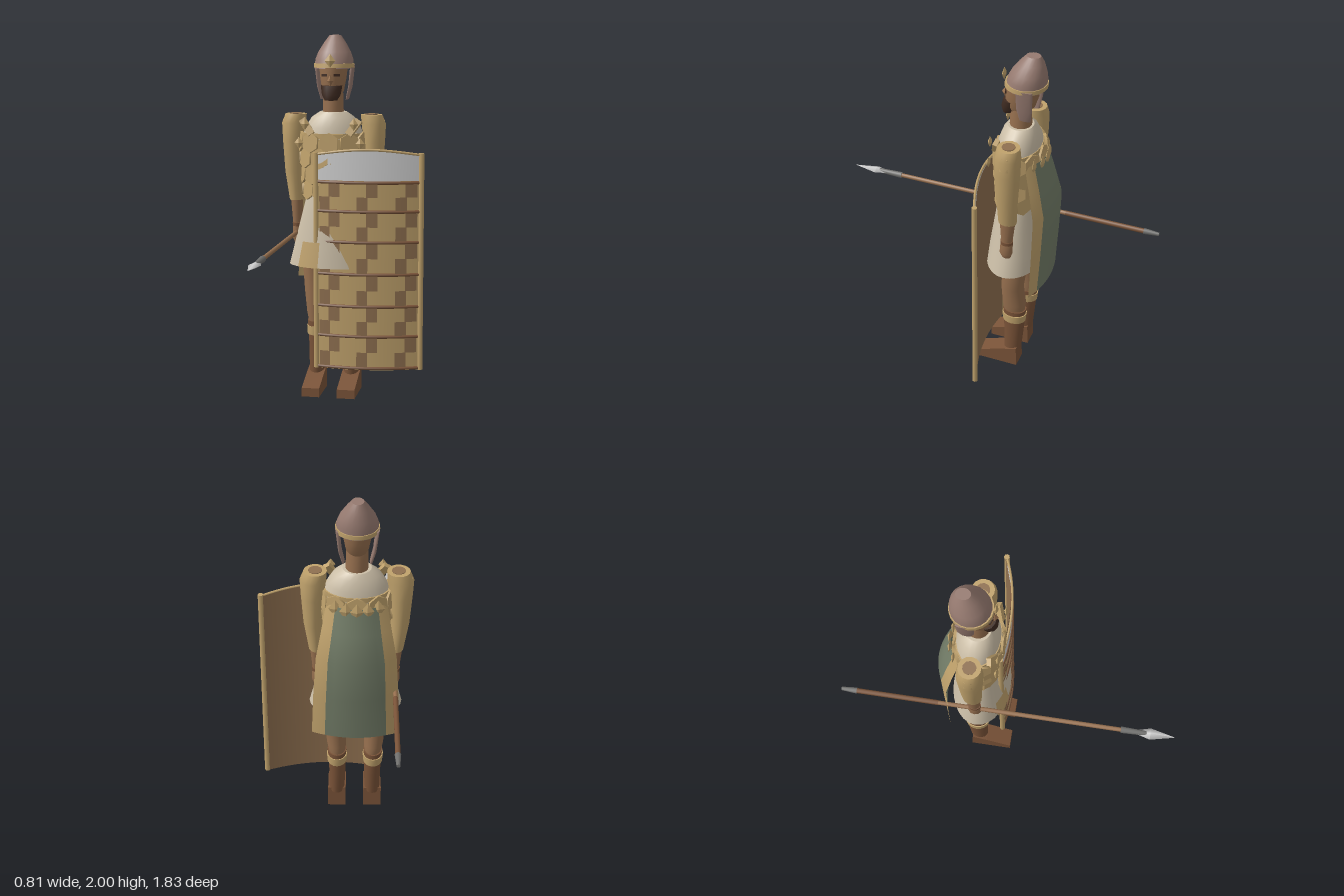
import * as THREE from 'three';

const mat = (name, color, side = THREE.FrontSide) => {
  const m = new THREE.MeshStandardMaterial({ color, side });
  m.name = name;
  return m;
};

// Closed body through elliptical rings [y, cx, cz, rx, rz], listed from bottom to top
function loft(rings, n = 16) {
  const pos = [], idx = [];
  const addRing = ([y, cx, cz, rx, rz]) => {
    const start = pos.length / 3;
    for (let i = 0; i < n; i++) {
      const a = (i / n) * Math.PI * 2;
      pos.push(cx + rx * Math.cos(a), y, cz + rz * Math.sin(a));
    }
    return start;
  };
  const starts = rings.map(addRing);
  for (let r = 0; r < rings.length - 1; r++)
    for (let i = 0; i < n; i++) {
      const j = (i + 1) % n, a = starts[r], b = starts[r + 1];
      idx.push(a + i, b + i, a + j, a + j, b + i, b + j);
    }
  const low = addRing(rings[0]), high = addRing(rings[rings.length - 1]);
  for (let i = 1; i < n - 1; i++) {
    idx.push(low, low + i, low + i + 1);
    idx.push(high, high + i + 1, high + i);
  }
  const g = new THREE.BufferGeometry();
  g.setAttribute('position', new THREE.Float32BufferAttribute(pos, 3));
  g.setIndex(idx);
  g.computeVertexNormals();
  return g;
}

// Sheet bent by a rule (u, v) -> [x, y, z], u and v from 0 to 1
function sheet(nu, nv, rule) {
  const g = new THREE.PlaneGeometry(1, 1, nu, nv), p = g.attributes.position;
  for (let i = 0; i < p.count; i++) p.setXYZ(i, ...rule(p.getX(i) + 0.5, p.getY(i) + 0.5));
  g.computeVertexNormals();
  return g;
}

export function createModel() {
  const skin = mat('skin', 0x97704f), leather = mat('leather', 0x7a5338);
  const tan = mat('tan', 0xc0a26c, THREE.DoubleSide), linen = mat('linen', 0xccbfa8, THREE.DoubleSide);
  const green = mat('green cloth', 0x737d68, THREE.DoubleSide), rose = mat('helmet bronze', 0x967a70);
  const dark = mat('dark hair', 0x402c22), brown = mat('shield brown', 0x8f7050, THREE.DoubleSide);
  const white = mat('pale', 0xd4d4d4, THREE.DoubleSide), grey = mat('iron', 0x6e6e6c);

  const model = new THREE.Group();
  const add = (name, geo, m, parent = model) => {
    const mesh = new THREE.Mesh(geo, m);
    mesh.name = name;
    parent.add(mesh);
    return mesh;
  };
  const X = -0.115, Z = -0.175;
  const figure = new THREE.Group();
  figure.name = 'soldier';
  figure.position.x = X;
  model.add(figure);
  const part = (name, geo, m) => add(name, geo, m, figure);
  const diamond = (name, x, y, z, w, h, m = tan) => {
    const d = part(name, new THREE.OctahedronGeometry(1), m);
    d.scale.set(w, h, 0.012);
    d.position.set(x, y, z);
    return d;
  };

  // Head and helmet
  part('neck', loft([[1.54, 0, Z, 0.06, 0.06], [1.7, 0, Z, 0.055, 0.055]]), skin);
  part('head', loft([[1.66, 0, -0.16, 0.04, 0.05], [1.7, 0, -0.17, 0.06, 0.078],
    [1.77, 0, -0.18, 0.072, 0.09], [1.84, 0, -0.185, 0.08, 0.095]]), skin);
  part('beard', loft([[1.65, 0, -0.105, 0.035, 0.03], [1.68, 0, -0.115, 0.052, 0.046],
    [1.73, 0, -0.125, 0.06, 0.045]], 10), dark);
  part('helmet', loft([[1.82, 0, -0.2, 0.108, 0.108], [1.87, 0, -0.207, 0.105, 0.102],
    [1.91, 0, -0.215, 0.09, 0.09], [1.96, 0, -0.227, 0.06, 0.066], [2, 0, -0.235, 0.031, 0.038]], 20), rose);
  part('helmetBand', loft([[1.825, 0, -0.2, 0.112, 0.113], [1.848, 0, -0.202, 0.111, 0.111]], 20), tan);
  diamond('helmetOrnament', 0, 1.865, -0.08, 0.03, 0.038);
  diamond('nose', 0, 1.757, -0.088, 0.018, 0.032, skin).scale.z = 0.02;
  for (const s of [-1, 1]) {
    const eye = part('eye', new THREE.BoxGeometry(0.035, 0.013, 0.009), dark);
    eye.position.set(s * 0.034, 1.786, -0.101);
    eye.rotation.y = s * 0.35;
    const flap = part('cheekFlap', loft([[1.65, s * 0.07, -0.22, 0.008, 0.03],
      [1.72, s * 0.087, -0.22, 0.01, 0.042], [1.84, s * 0.1, -0.22, 0.011, 0.047]], 8), rose);
    flap.name = s < 0 ? 'rightCheekFlap' : 'leftCheekFlap';
  }

  // Tunic, armour and skirt
  part('collar', loft([[1.44, 0, Z, 0.175, 0.118], [1.5, 0, Z, 0.155, 0.11],
    [1.555, 0, Z, 0.12, 0.09], [1.585, 0, Z, 0.075, 0.07]], 20), linen);
  part('torso', loft([[1.1, 0, Z, 0.15, 0.105], [1.25, 0, Z, 0.165, 0.115], [1.47, 0, Z, 0.175, 0.118]], 20), tan);
  const hex = new THREE.CylinderGeometry(0.057, 0.057, 0.012, 6).rotateX(Math.PI / 2);
  for (let row = 0; row < 4; row++)
    for (let k = 0; k < 10; k++) {
      const a = ((k + (row % 2) / 2) / 10) * Math.PI * 2, y = 1.42 - row * 0.088;
      const w = 0.184 - row * 0.007, d = 0.127 - row * 0.005;
      const scale = part('armourScale', hex, tan);
      scale.position.set(w * Math.sin(a), y, Z + d * Math.cos(a));
      scale.rotation.set(-0.08, Math.atan2(Math.sin(a) / w, Math.cos(a) / d), 0, 'YXZ');
    }
  for (const s of [-1, 1]) {
    const strap = part('shoulderStrap', new THREE.BoxGeometry(0.04, 0.1, 0.025), tan);
    strap.position.set(s * 0.13, 1.505, -0.085);
    strap.rotation.set(-0.3, 0, s * -0.6);
    diamond('strapOrnament', s * 0.135, 1.525, -0.055, 0.025, 0.035);
    diamond('chestOrnament', s * 0.17, 1.42, -0.06, 0.025, 0.032);
  }
  const skirt = (grow, a0, a1, y0, y1) => sheet(28, 4, (u, v) => {
    const a = a0 + (a1 - a0) * u, y = y0 + (y1 - y0) * v, t = (1.14 - y) / 0.41;
    return [(0.145 + 0.105 * t + grow) * Math.sin(a), y, Z + (0.105 + 0.055 * t + grow) * Math.cos(a)];
  });
  part('skirt', skirt(0, -Math.PI, Math.PI, 0.73, 1.14), linen);
  part('skirtPatch', skirt(0.004, -0.78, -0.24, 0.73, 0.87), tan);

  // Arms and legs, mirrored
  for (const s of [-1, 1]) {
    const x = (v) => s * v;
    part('sleeve', loft([[1.09, x(0.212), -0.185, 0.038, 0.05], [1.25, x(0.225), -0.185, 0.05, 0.058],
      [1.42, x(0.227), -0.185, 0.06, 0.068], [1.52, x(0.224), -0.185, 0.068, 0.07],
      [1.57, x(0.212), -0.185, 0.06, 0.06]], 14), tan);
    const shoulder = part('shoulderGuard', new THREE.CylinderGeometry(0.04, 0.045, 0.075, 6), tan);
    shoulder.position.set(x(0.248), 1.5, -0.185);
    part('shoulderOpening', loft([[1.568, x(0.212), -0.185, 0.036, 0.036], [1.574, x(0.212), -0.185, 0.036, 0.036]], 10), brown);
    part('forearm', loft([[0.94, x(0.205), -0.18, 0.025, 0.03], [1.1, x(0.21), -0.185, 0.035, 0.044]], 12), skin);
    part('bracelet', loft([[0.94, x(0.205), -0.18, 0.029, 0.035], [0.96, x(0.205), -0.18, 0.03, 0.036]], 12), leather);
    part('hand', loft([[0.85, x(0.206), -0.18, 0.018, 0.026], [0.88, x(0.208), -0.178, 0.028, 0.036],
      [0.95, x(0.206), -0.18, 0.026, 0.034]], 10), skin);

    part('leg', loft([[0.38, x(0.098), -0.195, 0.045, 0.06], [0.45, x(0.103), -0.195, 0.053, 0.068],
      [0.57, x(0.11), -0.185, 0.056, 0.064], [0.73, x(0.118), -0.2, 0.062, 0.07],
      [0.95, x(0.1), -0.19, 0.07, 0.075]]), skin);
    part('boot', loft([[0.1, x(0.1), -0.19, 0.042, 0.05], [0.25, x(0.098), -0.195, 0.046, 0.058],
      [0.4, x(0.1), -0.197, 0.053, 0.068]]), leather);
    part('bootBand', loft([[0.32, x(0.1), -0.196, 0.054, 0.067], [0.37, x(0.1), -0.197, 0.057, 0.071]]), tan);
    const profile = new THREE.Shape([[-0.23, 0], [0, 0], [0, 0.05], [-0.14, 0.1], [-0.225, 0.125]]
      .map(([a, b]) => new THREE.Vector2(a, b)));
    const foot = new THREE.ExtrudeGeometry(profile, { depth: 0.1, bevelEnabled: false });
    part('shoe', foot.rotateY(-Math.PI / 2).translate(x(0.1) + 0.05, 0, 0), leather);
  }

  // Cape with two borders: rows [y, half width, z at middle, z at edge]
  const rows = [[0.62, 0.235, -0.37, -0.32], [0.88, 0.225, -0.388, -0.325],
    [1.12, 0.21, -0.4, -0.325], [1.28, 0.18, -0.36, -0.29], [1.42, 0.155, -0.322, -0.255]];
  const cape = (u0, u1) => sheet(8, 4, (u, v) => {
    const [y, w, zm, ze] = rows[Math.round(v * 4)], t = u0 + (u1 - u0) * u;
    return [t * w, y, zm + (ze - zm) * t * t];
  });
  part('cape', cape(-0.7, 0.7), green);
  part('rightCapeBorder', cape(-1, -0.7), tan);
  part('leftCapeBorder', cape(0.7, 1), tan);
  for (let i = -2; i <= 2; i++)
    diamond('capeScallop', i * 0.055, 1.41, -0.327 + i * i * 0.009, 0.035, 0.05);

  // Curved shield
  const shield = new THREE.Group();
  shield.name = 'shield';
  model.add(shield);
  const X0 = -0.19, X1 = 0.385;
  const face = (x) => {
    const t = (x - X0) / (X1 - X0);
    return -0.055 - 0.055 * t + 0.18 * t * (1 - t);
  };
  const plate = (name, x0, x1, y0, y1, out, m, arch = 0, nu = 20) => add(name, sheet(nu, 1, (u, v) => {
    const x = x0 + (x1 - x0) * u, t = (x - X0) / (X1 - X0);
    return [x, y0 + (y1 - y0) * v + arch * v * Math.sin(Math.PI * t), face(x) + out];
  }), m, shield);
  plate('shieldBack', X0, X1, 0.16, 1.36, -0.01, brown, 0.03);
  plate('shieldFace', X0, X1, 0.16, 1.22, 0, tan);
  plate('shieldTop', X0, X1, 1.22, 1.36, 0, white, 0.03);
  const bands = [0.17, 0.35, 0.52, 0.7, 0.88, 1.05, 1.21];
  const edge = (name, y, r, m, arch = 0) => {
    const pts = [];
    for (let i = 0; i <= 12; i++) {
      const x = X0 + (X1 - X0) * i / 12;
      pts.push(new THREE.Vector3(x, y + arch * Math.sin(Math.PI * i / 12), face(x)));
    }
    add(name, new THREE.TubeGeometry(new THREE.CatmullRomCurve3(pts), 24, r, 6), m, shield);
  };
  bands.forEach((y, i) => {
    edge('shieldBand', y, 0.009, leather);
    if (i === bands.length - 1) return;
    const mid = (y + bands[i + 1]) / 2;
    for (const x of [-0.17, 0.04, 0.25]) {
      plate('wovenPatch', x, x + 0.06, y, mid, 0.003, brown, 0, 3);
      plate('wovenPatch', x + 0.053, x + 0.115, mid, bands[i + 1], 0.003, brown, 0, 3);
    }
  });
  edge('shieldTopTrim', 1.36, 0.007, tan, 0.03);
  for (const x of [X0, X1]) {
    const post = add('shieldPost', new THREE.CylinderGeometry(0.015, 0.015, 1.21, 8), tan, shield);
    post.position.set(x, 0.765, face(x));
  }

  // Spear lying along z
  const spear = new THREE.Group();
  spear.name = 'spear';
  spear.position.set(-0.323, 0.905, 0);
  spear.rotation.x = Math.PI / 2;
  model.add(spear);
  const rod = (name, z0, z1, r0, r1, m, n = 10) => {
    const c = add(name, new THREE.CylinderGeometry(r1, r0, z1 - z0, n), m, spear);
    c.position.y = (z0 + z1) / 2;
    return c;
  };
  rod('shaft', -0.84, 0.65, 0.012, 0.012, skin);
  rod('shaftWrap', -0.83, -0.38, 0.014, 0.014, leather);
  rod('buttCap', -0.915, -0.83, 0.01, 0.017, grey);
  rod('socket', 0.62, 0.76, 0.018, 0.013, grey);
  rod('bladeBase', 0.7, 0.78, 0.01, 0.032, white, 4).scale.z = 0.5;
  rod('bladeTip', 0.78, 0.912, 0.032, 0.001, white, 4).scale.z = 0.5;
  return model;
}
